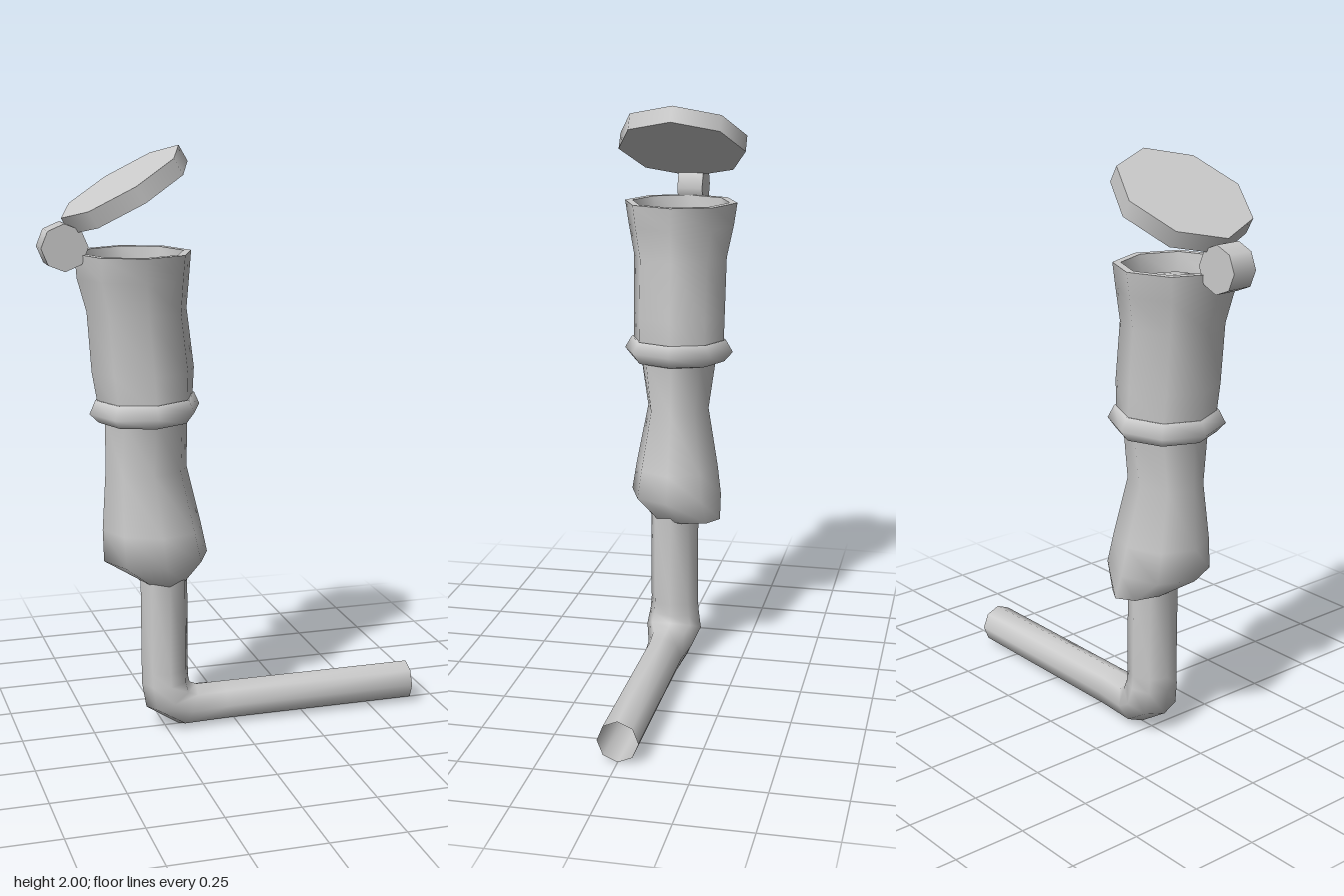
import * as THREE from 'three';

const SIDES = 8;
const material = new THREE.MeshStandardMaterial({ color: 0xcccccc, side: THREE.DoubleSide });

// Skins octagonal rings. Each ring: [x0, y0, x1, y1, rz, zCentre], where
// (x0,y0) and (x1,y1) are its opposite ends in the xy plane.
function loft(name, rings) {
  const pos = [], index = [];
  for (const [x0, y0, x1, y1, rz, zc = 0] of rings) {
    for (let j = 0; j < SIDES; j++) {
      const a = (j / SIDES) * Math.PI * 2;
      const t = (1 + Math.cos(a)) / 2;
      pos.push(x0 + (x1 - x0) * t, y0 + (y1 - y0) * t, zc + rz * Math.sin(a));
    }
  }
  for (let i = 0; i < rings.length - 1; i++) {
    for (let j = 0; j < SIDES; j++) {
      const k = (j + 1) % SIDES;
      const a = i * SIDES + j, b = i * SIDES + k;
      const c = a + SIDES, d = b + SIDES;
      index.push(a, c, d, a, d, b);
    }
  }
  const g = new THREE.BufferGeometry();
  g.setAttribute('position', new THREE.Float32BufferAttribute(pos, 3));
  g.setIndex(index);
  g.computeVertexNormals();
  const mesh = new THREE.Mesh(g, material);
  mesh.name = name;
  return mesh;
}

function disc(name, radius, height, x, y) {
  const mesh = new THREE.Mesh(new THREE.CylinderGeometry(radius, radius, height, SIDES), material);
  mesh.name = name;
  mesh.position.set(x, y, 0);
  return mesh;
}

export function createModel() {
  const pipe = new THREE.Group();
  pipe.name = 'lidded pipe';

  // Open mouthpiece tube, rounded elbow and upright stem
  pipe.add(loft('stem', [
    [0.65, 0.005, 0.65, 0.145, 0.068],
    [-0.04, 0.005, -0.04, 0.145, 0.068],
    [-0.2, 0.005, -0.135, 0.145, 0.08],
    [-0.315, 0.08, -0.16, 0.155, 0.1],
    [-0.33, 0.17, -0.166, 0.18, 0.09],
    [-0.33, 0.22, -0.166, 0.22, 0.086],
    [-0.33, 0.56, -0.166, 0.56, 0.086],
  ]));

  // Underside closing in on the stem
  pipe.add(loft('bowlUnderside', [
    [-0.33, 0.537, -0.166, 0.537, 0.08],
    [-0.33, 0.535, -0.166, 0.535, 0.125, -0.04],
  ]));

  // Lower bowl, swelling towards the bottom
  pipe.add(loft('lowerBowl', [
    [-0.33, 0.535, -0.166, 0.535, 0.125, -0.04],
    [-0.455, 0.62, -0.095, 0.625, 0.163],
    [-0.458, 0.73, -0.115, 0.72, 0.148],
    [-0.445, 0.93, -0.165, 0.93, 0.11],
    [-0.443, 1.12, -0.163, 1.12, 0.137],
  ]));

  // Collar between the two bowl sections
  pipe.add(loft('collar', [
    [-0.44, 1.1, -0.165, 1.1, 0.135],
    [-0.465, 1.1, -0.15, 1.105, 0.165],
    [-0.495, 1.13, -0.12, 1.145, 0.195],
    [-0.475, 1.175, -0.138, 1.185, 0.17],
    [-0.45, 1.175, -0.16, 1.18, 0.15],
  ]));

  // Upper bowl, flaring to the rim
  pipe.add(loft('upperBowl', [
    [-0.465, 1.15, -0.145, 1.15, 0.162],
    [-0.485, 1.27, -0.138, 1.27, 0.164],
    [-0.498, 1.47, -0.162, 1.47, 0.166],
    [-0.528, 1.58, -0.152, 1.58, 0.188],
    [-0.534, 1.66, -0.145, 1.66, 0.2],
  ]));
  pipe.add(loft('rim', [
    [-0.534, 1.66, -0.145, 1.66, 0.2],
    [-0.508, 1.66, -0.171, 1.66, 0.173],
  ]));
  pipe.add(loft('innerWall', [
    [-0.508, 1.66, -0.171, 1.66, 0.173],
    [-0.5, 1.58, -0.178, 1.58, 0.163],
  ]));
  // Low mound filling the bowl
  pipe.add(loft('filling', [
    [-0.5, 1.58, -0.178, 1.58, 0.163],
    [-0.42, 1.615, -0.258, 1.615, 0.08],
    [-0.339, 1.625, -0.339, 1.625, 0],
  ]));

  // Hinge barrel and raised lid
  const hinge = disc('hinge', 0.077, 0.09, -0.573, 1.685);
  hinge.rotation.x = Math.PI / 2;
  const lid = disc('lid', 0.225, 0.06, -0.365, 1.862);
  lid.rotation.z = Math.PI / 6;
  pipe.add(hinge, lid);

  return pipe;
}
